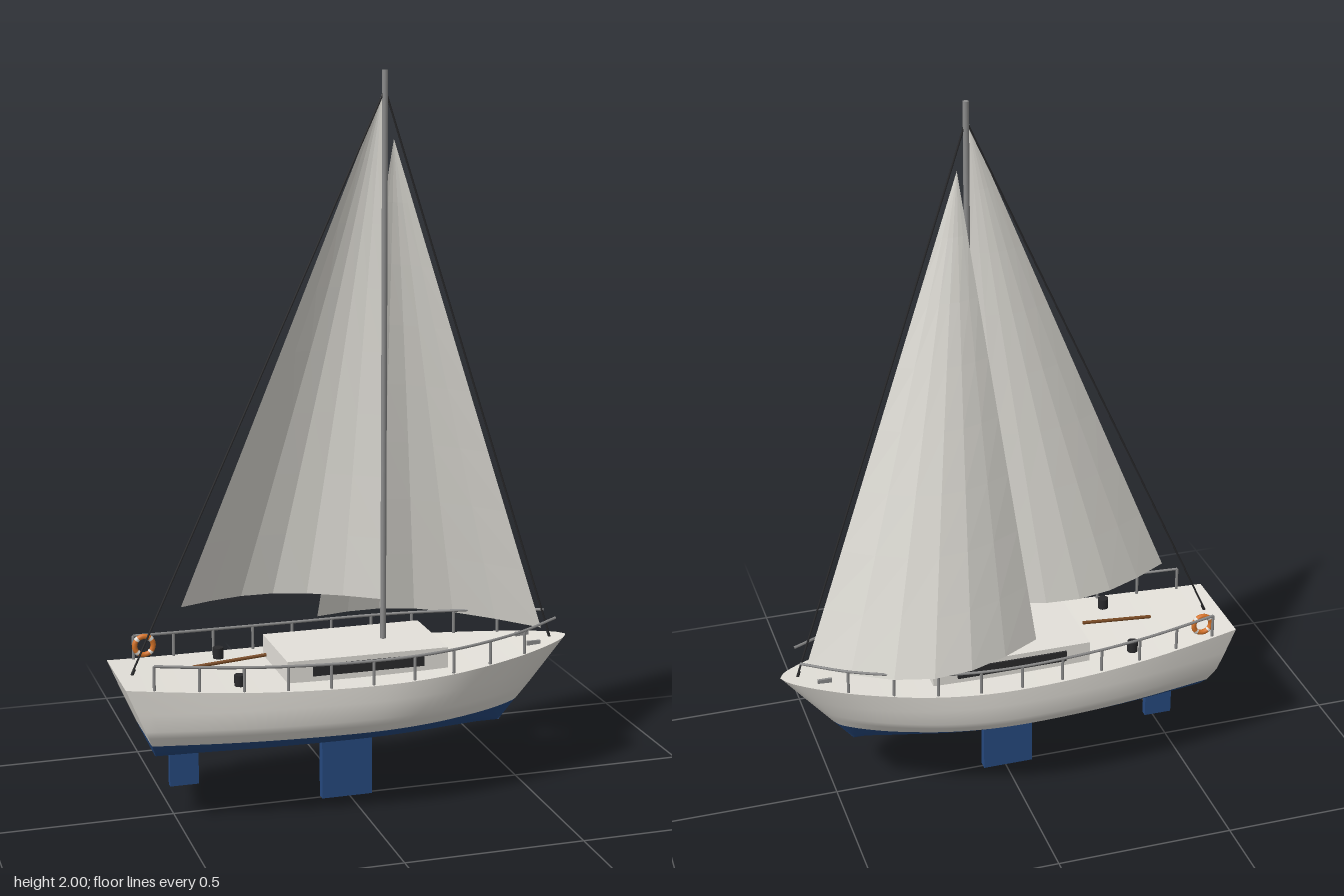
import * as THREE from 'three';

const mat = (name, color, extra = {}) => new THREE.MeshStandardMaterial({ name, color, ...extra });
const V = (x, y, z) => new THREE.Vector3(x, y, z);

// Surface from a rule: fn(i, j) gives the point, faces look along di x dj
function grid(ni, nj, fn) {
  const pos = [], idx = [];
  for (let i = 0; i <= ni; i++) for (let j = 0; j <= nj; j++) pos.push(...fn(i, j));
  for (let i = 0; i < ni; i++) for (let j = 0; j < nj; j++) {
    const a = i * (nj + 1) + j, b = a + nj + 1;
    idx.push(a, b, b + 1, a, b + 1, a + 1);
  }
  const g = new THREE.BufferGeometry();
  g.setAttribute('position', new THREE.Float32BufferAttribute(pos, 3));
  g.setIndex(idx);
  g.computeVertexNormals();
  return g;
}

// Deck outline as (x, half width)
const outline = new THREE.SplineCurve([
  [-0.65, 0.135], [-0.4, 0.18], [-0.2, 0.203], [0, 0.213], [0.15, 0.207], [0.3, 0.18],
  [0.45, 0.13], [0.55, 0.082], [0.62, 0.035], [0.645, 0],
].map(p => new THREE.Vector2(...p)));
const samples = outline.getPoints(300);
const halfWidth = x => samples.find(p => p.x >= x).y;
const sheer = x => 0.385 + 0.062 * x * x;

// Hull section from the deck edge down to the keel line: [height, width factor]
const LEVELS = [[null, 1], [0.34, 1], [0.29, 0.985], [0.268, 0.92], [0.24, 0.8],
  [0.215, 0.63], [0.197, 0.46], [0.183, 0.24], [0.175, 0]];
const STATIONS = 40, LAST = LEVELS.length - 1, WATER = 4;

function hullPoint(i, level, side) {
  const p = outline.getPoint(i / STATIONS);
  const [h, f] = LEVELS[level];
  const y = h === null ? sheer(p.x) : h;
  const k = Math.min(1, (y - 0.175) / 0.235);
  const t = (p.x + 0.65) / 1.295;
  const x = THREE.MathUtils.lerp(-0.55 - 0.1 * k, 0.445 + 0.2 * k, t);
  return [x, y, side * p.y * f];
}

export function createModel() {
  const boat = new THREE.Group();
  boat.name = 'sailboat';
  const white = mat('hullWhite', 0xe4e1da);
  const blue = mat('bottomBlue', 0x264a80);
  const sailCloth = mat('sailCloth', 0xe0ded7, { side: THREE.DoubleSide });
  const metal = mat('metalGrey', 0x8c8c8c);
  const dark = mat('darkFittings', 0x2a2a2c);
  const wood = mat('wood', 0x7a4a22);
  const orange = mat('buoyOrange', 0xd87428);

  const add = (name, geometry, material, x = 0, y = 0, z = 0) => {
    const m = new THREE.Mesh(geometry, material);
    m.name = name;
    m.position.set(x, y, z);
    boat.add(m);
    return m;
  };
  const box = (name, material, x0, x1, y0, y1, z, depth) =>
    add(name, new THREE.BoxGeometry(x1 - x0, y1 - y0, depth), material, (x0 + x1) / 2, (y0 + y1) / 2, z);
  const rod = (name, material, a, b, r, sides = 6) => {
    const m = add(name, new THREE.CylinderGeometry(r, r, a.distanceTo(b), sides), material);
    m.position.copy(a).add(b).multiplyScalar(0.5);
    m.quaternion.setFromUnitVectors(V(0, 1, 0), b.clone().sub(a).normalize());
    return m;
  };

  // Hull: topsides, painted bottom, transom and deck
  add('topsideRight', grid(STATIONS, WATER, (i, j) => hullPoint(i, j, -1)), white);
  add('topsideLeft', grid(STATIONS, WATER, (i, j) => hullPoint(i, WATER - j, 1)), white);
  const under = LAST - WATER;
  add('bottom', grid(STATIONS, 2 * under, (i, j) =>
    j <= under ? hullPoint(i, WATER + j, -1) : hullPoint(i, LAST - (j - under), 1)), blue);
  add('transomUpper', grid(1, WATER, (i, j) => hullPoint(0, j, 1 - 2 * i)), white);
  add('transomLower', grid(1, under, (i, j) => hullPoint(0, WATER + j, 1 - 2 * i)), blue);
  add('deck', grid(STATIONS, 1, (i, j) => hullPoint(i, 0, 1 - 2 * j)), white);

  // Keel and rudder
  box('keel', blue, -0.08, 0.065, 0, 0.2, 0, 0.026);
  box('rudder', blue, -0.51, -0.43, 0.083, 0.2, 0, 0.02);

  // Cabin with a dark window strip on each side
  box('cabin', white, -0.21, 0.245, 0.37, 0.447, 0, 0.262);
  for (const s of [-1, 1]) box('cabinWindow', dark, -0.14, 0.175, 0.402, 0.433, s * 0.133, 0.007);

  // Mast and stays
  rod('mast', metal, V(0.1, 0.4, 0), V(0.1, 2, 0), 0.008, 10);
  const masthead = V(0.1, 1.95, 0);
  for (const x of [-0.61, 0.598]) {
    rod('stay', dark, V(x, 0.405, 0), masthead, 0.0028);
    rod('stayFitting', dark, V(x, 0.4, 0), V(x, 0.4, 0).lerp(masthead, 0.015), 0.004);
  }

  // Sails: luff edge to leech edge, bellied toward -z, faceted
  const sail = (name, tack, clew, head, belly, power) => {
    const g = grid(6, 8, (i, j) => {
      const u = i / 6, v = j / 8;
      const p = tack.clone().lerp(clew, u).lerp(head, v);
      p.z -= belly * Math.sin(Math.PI * u) * Math.pow(1 - v, power);
      return [p.x, p.y, p.z];
    }).toNonIndexed();
    g.computeVertexNormals();
    add(name, g, sailCloth);
  };
  sail('mainsail', V(0.092, 0.56, 0), V(-0.47, 0.585, 0), V(0.092, 1.94, 0), 0.098, 1.2);
  sail('jib', V(0.57, 0.435, 0), V(-0.052, 0.485, -0.13), V(0.125, 1.82, 0), 0.138, 1.3);

  // Guard rails, winches and cleats on both sides
  for (const s of [-1, 1]) {
    const edge = (x, h) => V(x, sheer(x) + h, s * (halfWidth(x) - 0.011));
    const path = [];
    for (let k = 0; k <= 10; k++) {
      const x = -0.575 + 0.117 * k;
      path.push(edge(x, 0.067));
      if (k < 10) rod('railPost', metal, edge(x, -0.005), edge(x, 0.067), 0.0042);
    }
    add('guardRail', new THREE.TubeGeometry(new THREE.CatmullRomCurve3(path), 40, 0.0042, 6), metal);
    rod('winch', dark, V(-0.34, 0.385, s * 0.124), V(-0.34, 0.423, s * 0.124), 0.015, 14);
    box('cleat', metal, 0.51, 0.55, 0.398, 0.414, s * 0.045, 0.007);
  }

  // Tiller
  rod('tiller', wood, V(-0.44, 0.414, 0), V(-0.235, 0.43, 0), 0.005, 8);

  // Life ring with pale bands
  const ring = new THREE.Group();
  ring.name = 'lifeRing';
  ring.position.set(-0.547, 0.445, -0.131);
  const torus = new THREE.Mesh(new THREE.TorusGeometry(0.026, 0.0075, 8, 24), orange);
  torus.name = 'ringBody';
  ring.add(torus);
  for (let k = 0; k < 4; k++) {
    const band = new THREE.Mesh(new THREE.TorusGeometry(0.026, 0.0082, 8, 3, 0.3), white);
    band.name = 'ringBand';
    band.rotation.z = Math.PI / 4 - 0.15 + k * Math.PI / 2;
    ring.add(band);
  }
  boat.add(ring);
  return boat;
}
